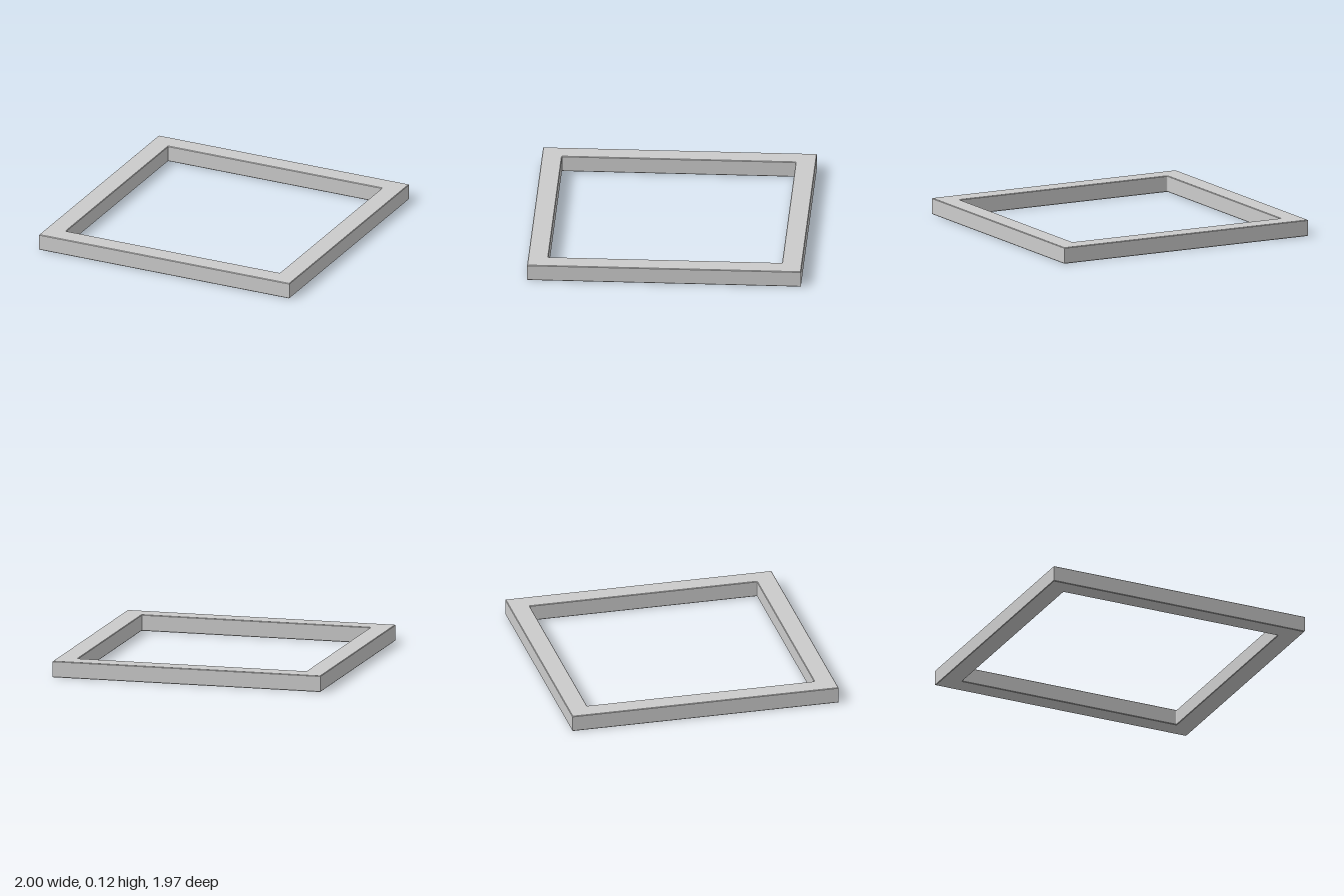
import * as THREE from 'three';

// Rectangle outline centred on the origin, with optional rounded corners
function rectangle(path, halfX, halfY, r = 0) {
  path.moveTo(-halfX + r, -halfY);
  const corners = [[1, -1, 0, 1], [1, 1, -1, 0], [-1, 1, 0, -1], [-1, -1, 1, 0]];
  for (const [sx, sy, dx, dy] of corners) {
    const x = sx * halfX, y = sy * halfY;
    if (r > 0) {
      path.lineTo(x - Math.abs(dy) * sx * r, y - Math.abs(dx) * sy * r);
      path.quadraticCurveTo(x, y, x + dx * r, y + dy * r);
    } else path.lineTo(x, y);
  }
  path.closePath();
  return path;
}

export function createModel() {
  const group = new THREE.Group();
  group.name = 'squareFrame';

  const height = 0.118, bevel = 0.004;

  // Flat frame with a window opening and finely eased edges
  const outline = rectangle(new THREE.Shape(), 1, 0.985);
  outline.holes.push(rectangle(new THREE.Path(), 0.853, 0.841, 0.006));
  const geometry = new THREE.ExtrudeGeometry(outline, {
    depth: height - 2 * bevel,
    curveSegments: 3,
    bevelEnabled: true,
    bevelThickness: bevel,
    bevelSize: bevel,
    bevelOffset: -bevel,
    bevelSegments: 1,
  });
  geometry.rotateX(-Math.PI / 2);
  geometry.translate(0, bevel, 0);

  const frame = new THREE.Mesh(geometry, new THREE.MeshStandardMaterial({ color: 0xcccccc }));
  frame.name = 'frame';
  group.add(frame);
  return group;
}
